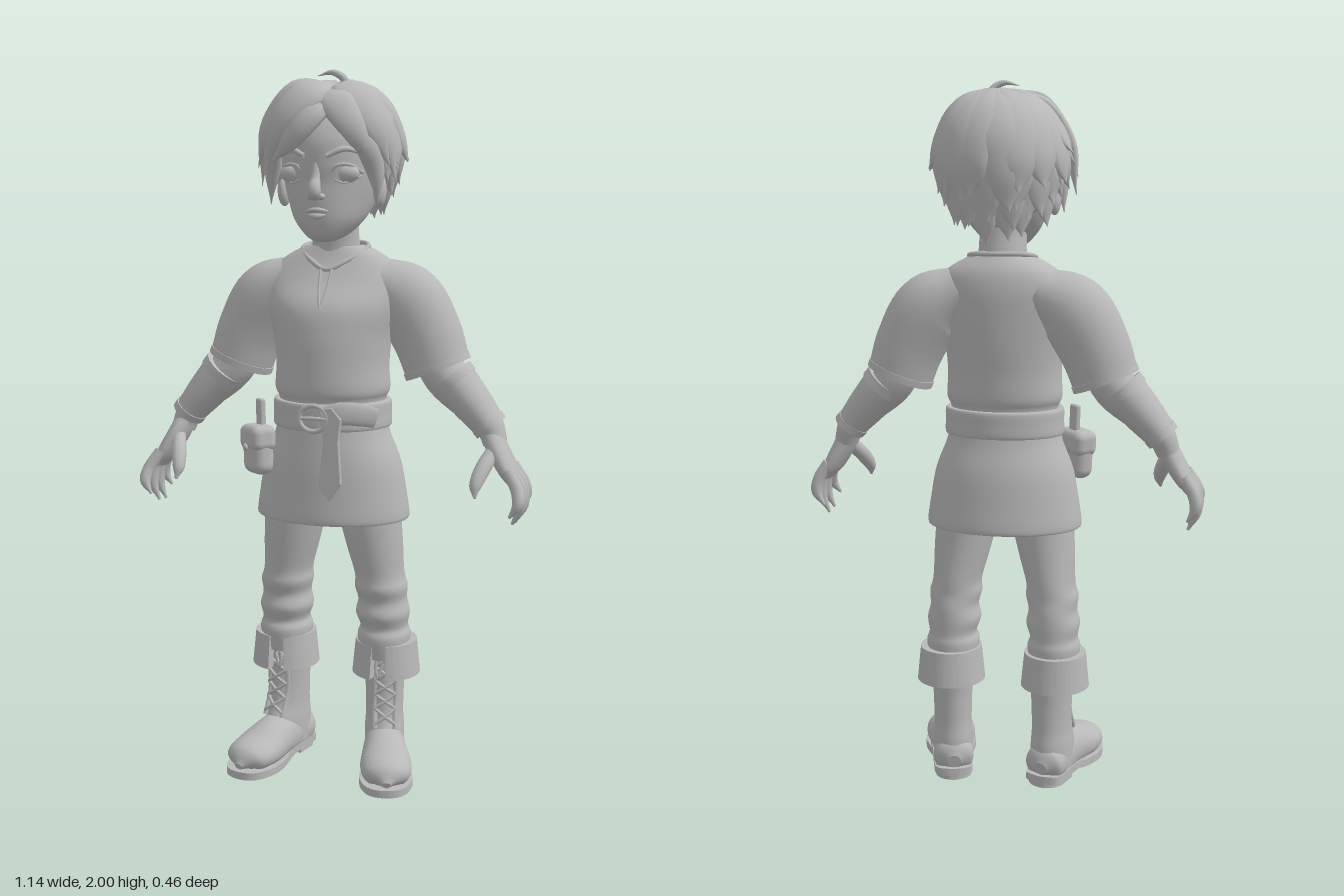
import * as THREE from 'three';
import { toCreasedNormals } from 'three/addons/utils/BufferGeometryUtils.js';
import { RoundedBoxGeometry } from 'three/addons/geometries/RoundedBoxGeometry.js';

const V = (x, y, z) => new THREE.Vector3(x, y, z);
const clay = new THREE.MeshStandardMaterial({ color: 0xb8b8b8 });
clay.name = 'clay grey';

// smooth scalar interpolation through a list
function cr(a, t) {
  const p = t * (a.length - 1), i = Math.min(Math.floor(p), a.length - 2), f = p - i;
  const g = k => a[Math.max(0, Math.min(a.length - 1, k))];
  const m0 = (g(i + 1) - g(i - 1)) / 2, m1 = (g(i + 2) - g(i)) / 2, d = g(i + 1) - g(i);
  return g(i) + f * m0 + f * f * (3 * d - 2 * m0 - m1) + f * f * f * (m0 + m1 - 2 * d);
}

// closed skin over a list of rings, with flat end caps
function skin(rings) {
  const pos = [], idx = [], n = rings[0].length, m = rings.length;
  const add = p => pos.push(p.x, p.y, p.z);
  rings.forEach(r => r.forEach(add));
  for (let i = 0; i < m - 1; i++) for (let j = 0; j < n; j++) {
    const k = (j + 1) % n, a = i * n + j, b = i * n + k;
    idx.push(a, b, a + n, b, b + n, a + n);
  }
  [rings[0], rings[m - 1]].forEach((r, e) => {
    const s = pos.length / 3, c = V(0, 0, 0);
    r.forEach(p => { add(p); c.addScaledVector(p, 1 / n); });
    add(c);
    for (let j = 0; j < n; j++) {
      const k = (j + 1) % n;
      idx.push(s + n, s + (e ? j : k), s + (e ? k : j));
    }
  });
  const g = new THREE.BufferGeometry();
  g.setAttribute('position', new THREE.Float32BufferAttribute(pos, 3));
  g.setIndex(idx);
  g.computeVertexNormals();
  return g;
}

// rows: [y, centreX, centreZ, halfWidth, frontDepth, backDepth]
function loft(rows, steps = 5, n = 40) {
  const rings = [], N = (rows.length - 1) * steps;
  for (let i = 0; i <= N; i++) {
    const [y, cx, cz, rx, rf, rb] = rows[0].map((_, k) => cr(rows.map(r => r[k]), i / N));
    rings.push(Array.from({ length: n }, (_, j) => {
      const a = j / n * Math.PI * 2, c = Math.cos(a);
      return V(cx + Math.sin(a) * rx, y, cz + c * (c > 0 ? rf : rb));
    }));
  }
  return skin(rings);
}

// ellipse swept along a path; h lies along the hint direction, w across it
function sweep(pts, w, h, hint, n = 12, N = 16) {
  const curve = new THREE.CatmullRomCurve3(pts.map(p => V(...p))), rings = [];
  for (let i = 0; i <= N; i++) {
    const t = i / N, c = curve.getPoint(t), d = curve.getTangent(t);
    const u = typeof hint === 'function' ? hint(c) : hint.clone();
    u.addScaledVector(d, -u.dot(d)).normalize();
    const v = d.clone().cross(u), W = Math.max(cr(w, t), 0.0008), H = Math.max(cr(h, t), 0.0008);
    rings.push(Array.from({ length: n }, (_, j) => {
      const a = j / n * Math.PI * 2;
      return c.clone().addScaledVector(u, Math.cos(a) * H).addScaledVector(v, Math.sin(a) * W);
    }));
  }
  return skin(rings);
}
const tube = (pts, r, closed = false) => new THREE.TubeGeometry(
  new THREE.CatmullRomCurve3(pts.map(p => V(...p)), closed), 48, r, 6, closed);
const ball = (x, y, z, a, b, c) => new THREE.SphereGeometry(1, 28, 20).scale(a, b, c).translate(x, y, z);
const X = V(1, 0, 0), Y = V(0, 1, 0), Z = V(0, 0, 1);

function part(parent, name, geo) {
  const m = new THREE.Mesh(geo, clay);
  m.name = name;
  parent.add(m);
  return m;
}
function group(parent, name) {
  const g = new THREE.Group();
  g.name = name;
  parent.add(g);
  return g;
}

function buildArm(g) {
  part(g, 'sleeve', sweep([[.11, 1.425, -.04], [.2, 1.375, -.045], [.26, 1.28, -.045], [.293, 1.19, -.043]],
    [.075, .103, .1, .094], [.085, .095, .092, .09], Z, 28, 20));
  part(g, 'sleeveHem', sweep([[.289, 1.2, -.043], [.296, 1.182, -.043]], [.097, .097], [.093, .093], Z, 28, 2));
  part(g, 'forearm', sweep([[.275, 1.24, -.04], [.32, 1.165, -.035], [.39, 1.1, -.025], [.45, 1.03, -.02], [.468, .985, -.012]],
    [.06, .063, .056, .04, .034], [.065, .068, .064, .05, .042], Z, 20));
  part(g, 'bracer', sweep([[.34, 1.158, -.03], [.4, 1.09, -.025], [.452, 1.03, -.02]],
    [.064, .056, .046], [.074, .069, .062], Z, 28));
  part(g, 'bracerTopRim', sweep([[.334, 1.165, -.03], [.352, 1.144, -.03]], [.068, .068], [.078, .077], Z, 28, 2));
  part(g, 'bracerWristRim', sweep([[.442, 1.042, -.02], [.455, 1.026, -.02]], [.05, .049], [.066, .065], Z, 28, 2));
  // hand
  part(g, 'palm', sweep([[.455, 1.015, -.015], [.48, .965, -.002], [.512, .91, .004], [.53, .875, .006]],
    [.03, .03, .026, .014], [.04, .055, .064, .055], Z, 20));
  [[.055, .1, .80], [.022, .04, .768], [-.012, -.008, .762], [-.043, -.055, .795]].forEach(([z0, z1, y]) =>
    part(g, 'finger', sweep([[.515, .92, z0], [.545, .87, z0 + (z1 - z0) * .4], [.55, (y + .87) / 2, z0 + (z1 - z0) * .8], [.528, y, z1]],
      [.017, .018, .016, .004], [.017, .019, .016, .004], Z, 12)));
  part(g, 'thumb', sweep([[.47, .97, .02], [.448, .925, .075], [.436, .885, .11], [.438, .855, .125]],
    [.02, .022, .017, .004], [.02, .022, .017, .004], X, 12));
}

function buildLeg(g) {
  part(g, 'trouserLeg', loft([[.34, .15, -.02, .07, .08, .08], [.4, .15, -.02, .077, .088, .086], [.43, .15, -.02, .069, .079, .082],
    [.47, .147, -.016, .078, .09, .087], [.51, .146, -.014, .07, .08, .088], [.55, .143, -.01, .076, .09, .086],
    [.59, .138, -.008, .071, .086, .088], [.68, .124, -.002, .082, .093, .09], [.78, .11, .004, .09, .096, .096], [.92, .1, 0, .09, .1, .1]], 5, 32));
  // folded cuff, open at the front
  const s = new THREE.Shape(), gap = .24, a0 = -Math.PI / 2 + gap, a1 = Math.PI * 1.5 - gap;
  s.absarc(0, 0, .091, a0, a1, false);
  s.absarc(0, 0, .066, a1, a0, true);
  const cuff = new THREE.ExtrudeGeometry(s, { depth: .1, bevelEnabled: false, curveSegments: 40 }).rotateX(-Math.PI / 2);
  const p = cuff.attributes.position;
  for (let i = 0; i < p.count; i++) {
    const k = 1.09 - p.getY(i) * 1.1;
    p.setX(i, p.getX(i) * k);
    p.setZ(i, p.getZ(i) * k * 1.05);
  }
  part(g, 'bootCuff', toCreasedNormals(cuff.translate(.155, .285, -.027), .7));

  const b = group(g, 'boot');
  b.position.set(.148, 0, -.04);
  b.rotation.y = .26;
  part(b, 'shaft', loft([[.04, 0, 0, .058, .1, .07], [.11, 0, 0, .058, .1, .072], [.16, 0, 0, .055, .08, .068], [.24, 0, 0, .057, .07, .069],
    [.3, 0, 0, .06, .069, .074], [.37, 0, 0, .064, .072, .076]], 5, 32));
  const foot = sweep([[0, .055, -.078], [0, .06, -.055], [0, .06, .02], [0, .062, .09], [.003, .052, .17], [.004, .048, .235], [.004, .035, .268]],
    [.02, .056, .058, .064, .074, .062, .012], [.02, .055, .075, .069, .054, .04, .01], Y, 28, 30);
  const f = foot.attributes.position;
  for (let i = 0; i < f.count; i++) f.setY(i, Math.max(f.getY(i), .024));
  foot.computeVertexNormals();
  part(b, 'foot', foot);
  const outline = new THREE.Shape(new THREE.SplineCurve([[0, -.084], [.05, -.066], [.058, 0], [.062, .08], [.08, .18], [.055, .255], [.004, .277],
    [-.05, .255], [-.074, .18], [-.058, .08], [-.054, 0], [-.05, -.066], [0, -.084]].map(q => new THREE.Vector2(...q))).getPoints(60));
  const sole = new THREE.ExtrudeGeometry(outline, { depth: .022, bevelEnabled: false }).rotateX(Math.PI / 2).translate(0, .034, 0);
  const q = sole.attributes.position;
  for (let i = 0; i < q.count; i++) q.setY(i, q.getY(i) - .011 * THREE.MathUtils.smoothstep(q.getZ(i), .05, .12));
  part(b, 'sole', toCreasedNormals(sole, .6));
  const hs = new THREE.Shape();
  hs.absarc(0, -.03, .053, Math.PI, 0, false);
  hs.lineTo(.056, .025);
  hs.lineTo(-.053, .025);
  part(b, 'heel', toCreasedNormals(new THREE.ExtrudeGeometry(hs, { depth: .02, bevelEnabled: false }).rotateX(Math.PI / 2).translate(0, .02, 0), .6));
  // tongue edges and crossed laces
  const frontZ = y => .068 + Math.max(0, .2 - y) * .42;
  [-1, 1].forEach(e => part(b, 'laceFlap', tube([.13, .2, .28, .35].map(y => [e * .03, y, frontZ(y) - .007]), .008)));
  for (let i = 0; i < 5; i++) [-1, 1].forEach(e => {
    const y = .145 + i * .042;
    part(b, 'lace', tube([[-e * .03, y, frontZ(y) + .002], [0, y + .021, frontZ(y + .021) + .008], [e * .03, y + .042, frontZ(y + .042) + .002]], .005));
  });
  [-1, 1].forEach(e => part(b, 'laceBow', tube([[0, .345, .08], [e * .025, .335, .088], [e * .022, .29, .09], [e * .006, .33, .086]], .005)));
}

function buildHead(g) {
  part(g, 'neck', loft([[1.45, 0, -.03, .075, .07, .07], [1.52, 0, -.03, .068, .066, .066], [1.58, 0, -.02, .066, .066, .066], [1.64, 0, -.01, .07, .07, .07]]));
  part(g, 'face', loft([[1.539, 0, .085, .012, .015, .015], [1.545, 0, .08, .036, .045, .05], [1.562, 0, .055, .062, .088, .085], [1.6, 0, .03, .096, .126, .11],
    [1.65, 0, 0, .119, .162, .13], [1.7, 0, 0, .132, .163, .15], [1.75, 0, 0, .137, .17, .16], [1.82, 0, 0, .135, .168, .165], [1.9, 0, 0, .105, .125, .13], [1.94, 0, 0, .04, .05, .05]]));
  part(g, 'nose', sweep([[0, 1.765, .158], [0, 1.71, .166], [0, 1.675, .18], [0, 1.655, .17]], [.01, .013, .019, .012], [.01, .014, .02, .008], Z));
  part(g, 'upperLip', sweep([[-.04, 1.62, .144], [-.012, 1.626, .159], [.012, 1.626, .159], [.04, 1.62, .144]], [.002, .006, .006, .002], [.003, .008, .008, .003], Z));
  part(g, 'lowerLip', sweep([[-.034, 1.616, .146], [0, 1.609, .158], [.034, 1.616, .146]], [.002, .008, .002], [.002, .009, .002], Z));
  [-1, 1].forEach(s => {
    part(g, 'eye', ball(s * .073, 1.722, .127, .038, .025, .024));
    part(g, 'upperEyelid', tube([[s * .034, 1.718, .154], [s * .055, 1.743, .155], [s * .085, 1.746, .142], [s * .113, 1.725, .1]], .005));
    part(g, 'lowerEyelid', tube([[s * .036, 1.714, .152], [s * .07, 1.698, .146], [s * .11, 1.716, .1]], .003));
    part(g, 'eyebrow', sweep([[s * .03, 1.768, .168], [s * .075, 1.787, .148], [s * .118, 1.77, .092]], [.007, .008, .002], [.008, .008, .003], Z));
    part(g, 'nostril', ball(s * .015, 1.662, .165, .011, .009, .013));
    part(g, 'ear', ball(s * .138, 1.678, .015, .018, .044, .03));
  });
}

function buildHair(g) {
  const C = V(0, 1.77, -.02), out = p => p.clone().sub(C);
  part(g, 'hairCap', ball(0, 1.775, -.03, .16, .175, .168));
  const lock = (pts, w, h = .02) => part(g, 'hairLock', sweep(pts, [w * .35, w, w, w * .7, .001], [h * .6, h, h, h * .8, .001], out, 10, 18));
  // layered locks falling from the crown around the sides and back
  [[2.1, 15, .05, .96, 1.3], [1.8, 15, .05, 1.02, 1.25], [1.45, 14, .055, 1.06, .95]].forEach(([end, n, w, k, start], tier) => {
    for (let i = 0; i < n; i++) {
      const az = start + (i / (n - 1)) * (2 * Math.PI - 2 * start);
      const wob = Math.sin(i * 2.4 + tier * 1.7), last = end + 1.3 * ((1 - Math.cos(az)) / 2 - .46) + wob * .13;
      const pts = [.08, .3, .52, .74, .9, 1].map((t, j) => {
        const phi = last * t, low = phi - Math.PI / 2, a = az + wob * .14 * t * t;
        const s = low > 0 ? 1 - .22 * low : Math.sin(phi), y = low > 0 ? -.9 * low : Math.cos(phi);
        const r = k * (j === 5 ? 1.16 : j === 4 ? 1.05 : 1);
        return [.02 * (1 - t) + Math.sin(a) * s * .168 * r, C.y + y * .185 * k, C.z + Math.cos(a) * s * .175 * r];
      });
      lock(pts, w, .02);
    }
  });
  // parted fringe sweeping to both sides
  [[[[.03, 1.94, .07], [-.02, 1.93, .165], [-.09, 1.85, .195], [-.145, 1.73, .14]], .055],
   [[[.03, 1.95, .04], [-.06, 1.94, .12], [-.14, 1.85, .13], [-.195, 1.74, .07]], .055],
   [[[.025, 1.92, .13], [-.005, 1.88, .195], [-.05, 1.82, .21], [-.125, 1.75, .165]], .042],
   [[[.01, 1.96, .0], [-.09, 1.93, .06], [-.165, 1.83, .07], [-.195, 1.69, .04]], .05],
   [[[-.06, 1.88, .15], [-.115, 1.82, .15], [-.14, 1.74, .11], [-.155, 1.64, .08]], .035],
   [[[.03, 1.93, .1], [.055, 1.91, .165], [.105, 1.84, .168], [.15, 1.73, .1]], .045],
   [[[.03, 1.95, .05], [.085, 1.93, .12], [.145, 1.85, .12], [.18, 1.74, .07]], .052],
   [[[.03, 1.96, .0], [.1, 1.93, .06], [.16, 1.84, .06], [.19, 1.7, .04]], .05],
   [[[.1, 1.86, .14], [.13, 1.8, .13], [.145, 1.73, .09], [.15, 1.64, .075]], .032]
  ].forEach(([pts, w]) => lock(pts, w, .022));
  part(g, 'cowlick', sweep([[.045, 1.94, .02], [.04, 1.975, .03], [.01, 1.993, .035], [-.035, 1.985, .03]], [.012, .011, .008, .001], [.014, .014, .01, .001], Z));
}

function buildClothes(g) {
  part(g, 'tunic', loft([[.85, 0, 0, .19, .135, .13], [.79, 0, 0, .2, .15, .145], [.757, 0, 0, .216, .157, .157], [.765, 0, 0, .224, .165, .165], [.83, 0, 0, .215, .163, .158],
    [.92, 0, 0, .198, .16, .146], [1.0, 0, 0, .167, .153, .124], [1.06, 0, 0, .155, .148, .115], [1.1, 0, 0, .154, .149, .115],
    [1.13, 0, 0, .165, .158, .124], [1.2, 0, 0, .162, .157, .129], [1.28, 0, 0, .17, .152, .138], [1.36, 0, 0, .188, .134, .143],
    [1.43, 0, -.01, .192, .09, .134], [1.485, 0, -.03, .158, .077, .103], [1.525, 0, -.033, .09, .064, .074]]));
  part(g, 'collar', tube([[0, 1.462, .066], [.05, 1.485, .045], [.093, 1.518, -.015], [.075, 1.53, -.075], [0, 1.532, -.105],
    [-.075, 1.53, -.075], [-.093, 1.518, -.015], [-.05, 1.485, .045]], .007, true));
  [-1, 1].forEach(s => part(g, 'neckSlit', tube([[s * .016, 1.468, .064], [s * .011, 1.41, .102], [0, 1.355, .135]], .004)));
  // belt, buckle and hanging strap
  part(g, 'belt', loft([[1.022, 0, 0, .158, .15, .118], [1.024, 0, 0, .17, .163, .13], [1.06, 0, 0, .17, .164, .131], [1.094, 0, 0, .169, .163, .13], [1.097, 0, 0, .155, .15, .116]], 4, 48));
  const buckle = part(g, 'buckle', new THREE.TorusGeometry(.036, .007, 8, 28).scale(1.1, 1, 1));
  buckle.position.set(-.008, 1.06, .17);
  part(g, 'bucklePin', tube([[-.045, 1.06, .172], [0, 1.062, .178], [.032, 1.06, .174]], .005));
  part(g, 'strapOverBelt', sweep([[.02, 1.06, .168], [.07, 1.075, .158], [.115, 1.07, .132], [.15, 1.055, .09]], [.034, .032, .032, .028], [.009, .009, .009, .007], V(.35, 0, 1)));
  const s = new THREE.Shape([[.012, 1.085], [.045, 1.09], [.07, 1.06], [.063, 1.0], [.07, .88], [.038, .835], [.012, .87], [.025, 1.0]].map(q => new THREE.Vector2(...q)));
  part(g, 'strapTail', new THREE.ExtrudeGeometry(s, { depth: .01, bevelSize: .003, bevelThickness: .003, bevelSegments: 2 }).translate(0, 0, .162));
  // belt pouch
  const p = group(g, 'pouch');
  p.position.set(-.195, .955, .095);
  p.rotation.set(0, -.8, .06);
  part(p, 'pouchBody', new RoundedBoxGeometry(.105, .13, .066, 5, .03)).position.y = -.01;
  part(p, 'pouchFlap', new RoundedBoxGeometry(.112, .075, .076, 5, .024)).position.y = .03;
  part(p, 'pouchButton', ball(0, .005, .04, .01, .01, .007));
  part(p, 'pouchLoop', new RoundedBoxGeometry(.035, .1, .018, 3, .006)).position.set(0, .09, -.012);
}

export function createModel() {
  const root = new THREE.Group();
  root.name = 'youngAdventurer';
  buildClothes(group(root, 'clothes'));
  buildHead(group(root, 'head'));
  buildHair(group(root, 'hair'));
  [['left', 1], ['right', -1]].forEach(([side, s]) => {
    const arm = group(root, side + 'Arm'), leg = group(root, side + 'Leg');
    buildArm(arm);
    buildLeg(leg);
    arm.scale.x = leg.scale.x = s;
  });
  return root;
}
